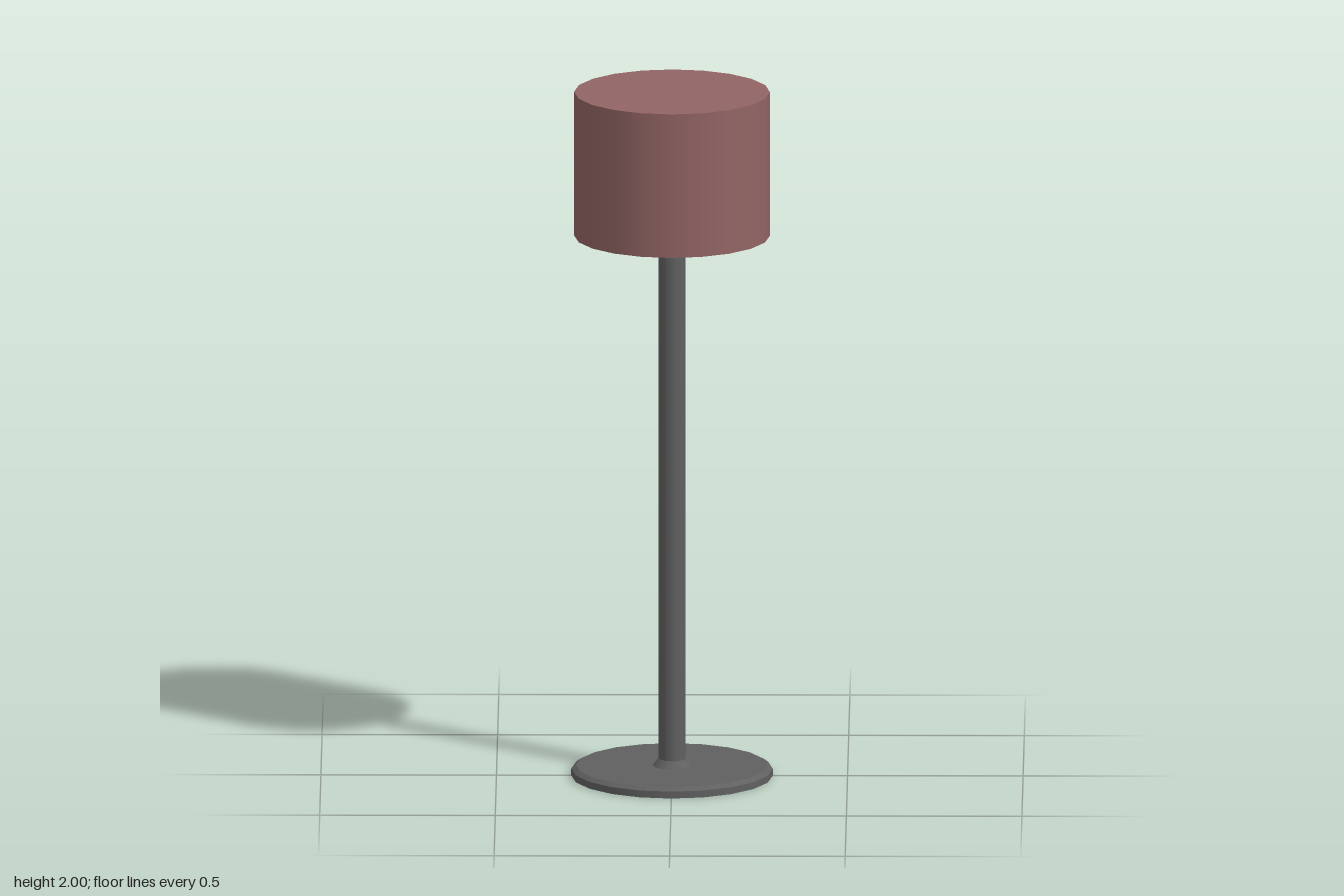
import * as THREE from 'three';

const SIDES = 20;

export function createModel() {
  const lamp = new THREE.Group();
  lamp.name = 'floorLamp';

  const metal = new THREE.MeshStandardMaterial({ color: 0x606060 });
  const fabric = new THREE.MeshStandardMaterial({ color: 0x926464 });
  const lining = new THREE.MeshStandardMaterial({ color: 0x926464, side: THREE.DoubleSide });

  // Round section between two heights
  function section(name, parent, material, rBottom, rTop, y0, y1, open = false) {
    const geometry = new THREE.CylinderGeometry(rTop, rBottom, y1 - y0, SIDES, 1, open);
    const mesh = new THREE.Mesh(geometry, material);
    mesh.name = name;
    mesh.position.y = (y0 + y1) / 2;
    parent.add(mesh);
    return mesh;
  }

  // Flat foot with a bevelled rim
  const base = new THREE.Group();
  base.name = 'base';
  section('baseDisc', base, metal, 0.287, 0.287, 0, 0.02);
  section('baseBevel', base, metal, 0.287, 0.273, 0.02, 0.03);
  section('collar', base, metal, 0.055, 0.04, 0.03, 0.05);
  lamp.add(base);

  // Upright, running up into the shade
  section('pole', lamp, metal, 0.038, 0.038, 0.03, 1.77);

  // Drum shade: outer wall, closed top and conical underside
  const shade = new THREE.Group();
  shade.name = 'shade';
  section('shadeWall', shade, fabric, 0.279, 0.279, 1.58, 2, true);
  const top = new THREE.Mesh(new THREE.CircleGeometry(0.279, SIDES), fabric);
  top.name = 'shadeTop';
  top.rotation.x = -Math.PI / 2;
  top.position.y = 2;
  shade.add(top);
  section('shadeLining', shade, lining, 0.279, 0.036, 1.58, 1.75, true);
  lamp.add(shade);

  return lamp;
}
